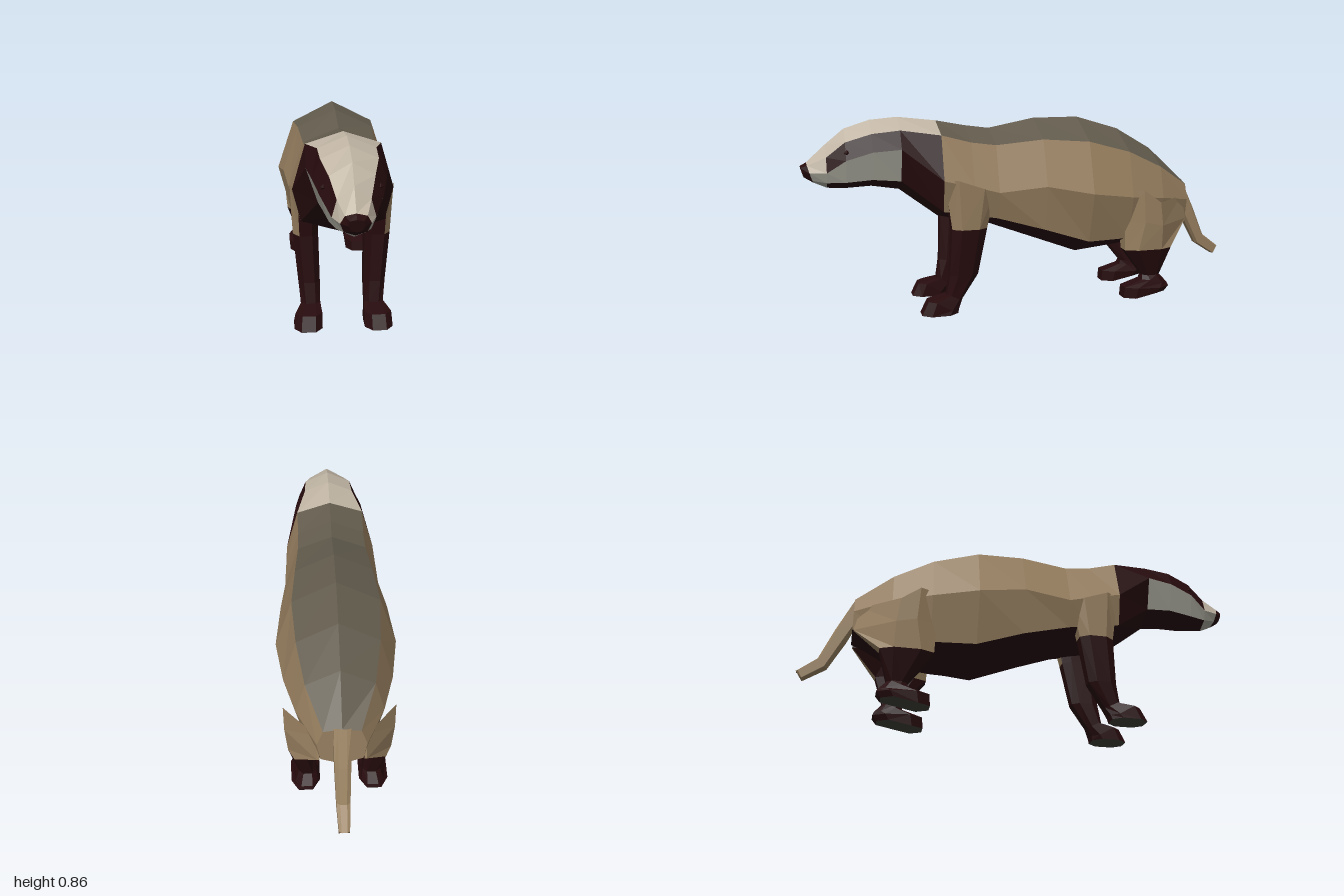
import * as THREE from 'three';

const flat = (name, color) => Object.assign(new THREE.MeshStandardMaterial({ color }), { name });
const MATS = [
  flat('creamFur', 0xc2b7a6),
  flat('greyCheekFur', 0xaaa99d),
  flat('darkFur', 0x270b0d),
  flat('tanFur', 0x988060),
  flat('greyBackFur', 0x625b4d),
  flat('pawPads', 0x3e3e38),
];
const [CREAM, CHEEK, DARK, TAN, BACK, PAD] = MATS.map((_, i) => i);

// Skins a row of rings; paint(segment, side) gives the colour. Caps may be null.
function loft(name, rings, paint, { start = null, end = null, mirror = false } = {}) {
  const buckets = MATS.map(() => []);
  const tri = (m, a, b, c) => {
    for (const p of mirror ? [a, c, b] : [a, b, c]) buckets[m].push(mirror ? -p[0] : p[0], p[1], p[2]);
  };
  const n = rings[0].length;
  for (let k = 0; k < rings.length - 1; k++) {
    const a = rings[k], b = rings[k + 1];
    for (let i = 0; i < n; i++) {
      const j = (i + 1) % n, m = paint(k, i);
      tri(m, a[i], a[j], b[j]);
      tri(m, a[i], b[j], b[i]);
    }
  }
  const first = rings[0], last = rings[rings.length - 1];
  for (let i = 1; i < n - 1; i++) {
    if (start !== null) tri(start, first[0], first[i + 1], first[i]);
    if (end !== null) tri(end, last[0], last[i], last[i + 1]);
  }
  const geo = new THREE.BufferGeometry();
  const used = [];
  let offset = 0;
  buckets.forEach((list, m) => {
    if (!list.length) return;
    geo.addGroup(offset, list.length / 3, used.length);
    offset += list.length / 3;
    used.push(MATS[m]);
  });
  geo.setAttribute('position', new THREE.Float32BufferAttribute(buckets.flat(), 3));
  geo.computeVertexNormals();
  const mesh = new THREE.Mesh(geo, used);
  mesh.name = name;
  return mesh;
}

// Upright ring: z, top y, upper edge, widest edge, lower edge, bottom y, backward tilt
function bodyRing([z, top, x1, y1, x2, y2, x3, y3, bottom, tilt = 0]) {
  const half = [[x1, y1], [x2, y2], [x3, y3]];
  const pts = [[0, top], ...half, [0, bottom], ...half.map(([x, y]) => [-x, y]).reverse()];
  return pts.map(([x, y]) => [x, y, z - tilt * (top - y)]);
}

// Level ring: front y, back y, front z, back z, inner x, outer x, optional outer x at the back
function limbRing([yf, yb, zf, zb, xi, xo, xBack]) {
  const c = (xo - xi) * 0.25, d = zf - zb;
  const xb = xBack ?? xo - c, cb = d * (xBack ? 0.5 : 0.25), cf = d * 0.25;
  return [
    [Math.min(xi + c, xb - 0.01), yb, zb], [xb, yb, zb],
    [xo, yb, zb + cb], [xo, yf, zf - cf],
    [xo - c, yf, zf], [xi + c, yf, zf],
    [xi, yf, zf - cf], [xi, yb, zb + cb],
  ];
}

export function createModel() {
  const model = new THREE.Group();
  model.name = 'badger';

  const noseTip = [1.0, 0.66, 0.025, 0.655, 0.03, 0.635, 0.02, 0.615, 0.61, 0.3];
  const muzzle = [0.973, 0.675, 0.04, 0.665, 0.056, 0.635, 0.042, 0.6, 0.585, 0.3];
  const collar = [0.41, 0.84, 0.155, 0.79, 0.21, 0.6, 0.175, 0.46, 0.41];

  // Nose
  model.add(loft('nose', [noseTip, muzzle].map(bodyRing), () => DARK, { start: DARK }));

  // Striped head and neck
  const head = [
    muzzle,
    [0.89, 0.75, 0.062, 0.7, 0.08, 0.635, 0.062, 0.59, 0.56],
    [0.81, 0.815, 0.085, 0.765, 0.117, 0.69, 0.085, 0.592, 0.555],
    [0.70, 0.85, 0.11, 0.8, 0.142, 0.725, 0.102, 0.602, 0.56],
    [0.58, 0.86, 0.115, 0.812, 0.16, 0.735, 0.112, 0.592, 0.54],
    collar,
  ];
  const headPaint = [
    [CREAM, CREAM, CHEEK, CHEEK],
    ...Array(3).fill([CREAM, DARK, CHEEK, DARK]),
    [CREAM, DARK, DARK, DARK],
  ];
  model.add(loft('head', head.map(bodyRing), (k, i) => headPaint[k][Math.min(i, 7 - i)]));

  // Body
  const body = [
    collar,
    [0.28, 0.815, 0.152, 0.755, 0.215, 0.57, 0.18, 0.44, 0.38],
    [0.17, 0.8, 0.155, 0.74, 0.22, 0.54, 0.185, 0.42, 0.36],
    [-0.04, 0.84, 0.17, 0.76, 0.24, 0.56, 0.205, 0.36, 0.28],
    [-0.25, 0.84, 0.187, 0.745, 0.262, 0.52, 0.2, 0.29, 0.2],
    [-0.45, 0.78, 0.172, 0.69, 0.23, 0.49, 0.18, 0.29, 0.22],
    [-0.62, 0.68, 0.14, 0.61, 0.18, 0.47, 0.14, 0.31, 0.24],
    [-0.78, 0.52, 0.075, 0.51, 0.1, 0.44, 0.085, 0.36, 0.33],
  ];
  const bodyPaint = [BACK, TAN, TAN, DARK];
  model.add(loft('body', body.map(bodyRing), (k, i) => bodyPaint[Math.min(i, 7 - i)], { end: TAN }));

  // Legs with paws
  const frontLeg = [
    [0.6, 0.56, 0.405, 0.18, 0.1, 0.219],
    [0.38, 0.38, 0.375, 0.22, 0.1, 0.208],
    [0.17, 0.17, 0.385, 0.26, 0.095, 0.188],
    [0.08, 0.06, 0.4, 0.33, 0.095, 0.178],
    [0.06, 0.02, 0.485, 0.35, 0.09, 0.205],
    [0, 0, 0.515, 0.355, 0.09, 0.21],
  ].map(limbRing);
  const hindLeg = [
    [0.52, 0.46, -0.42, -0.75, 0.07, 0.232, 0.1],
    [0.37, 0.35, -0.425, -0.775, 0.075, 0.23, 0.1],
    [0.235, 0.235, -0.43, -0.66, 0.11, 0.218],
    [0.1, 0.1, -0.535, -0.62, 0.1, 0.175],
    [0.08, 0.06, -0.53, -0.655, 0.095, 0.19],
    [0.05, 0.045, -0.44, -0.66, 0.085, 0.21],
    [0, 0.02, -0.435, -0.64, 0.09, 0.205],
  ].map(limbRing);
  for (const [side, mirror] of [['left', false], ['right', true]]) {
    model.add(loft(`${side}FrontLeg`, frontLeg,
      (k, i) => (k === 0 && i <= 3 ? TAN : DARK), { end: PAD, mirror }));
    model.add(loft(`${side}HindLeg`, hindLeg,
      (k, i) => (k < 2 && i <= 5 ? TAN : DARK), { end: PAD, mirror }));

    // Small eye set into the dark stripe
    const eye = new THREE.Mesh(new THREE.OctahedronGeometry(0.013), MATS[DARK]);
    eye.name = `${side}Eye`;
    eye.position.set(mirror ? -0.104 : 0.104, 0.722, 0.805);
    model.add(eye);
  }

  // Tail
  const tail = [
    [0.42, 0.525, -0.765, -0.785, -0.035, 0.035],
    [0.33, 0.38, -0.805, -0.855, -0.033, 0.033],
    [0.2, 0.24, -0.875, -0.915, -0.028, 0.028],
    [0.142, 0.175, -0.965, -1.0, -0.022, 0.022],
  ].map(limbRing);
  model.add(loft('tail', tail, () => TAN, { start: TAN, end: TAN }));

  return model;
}
